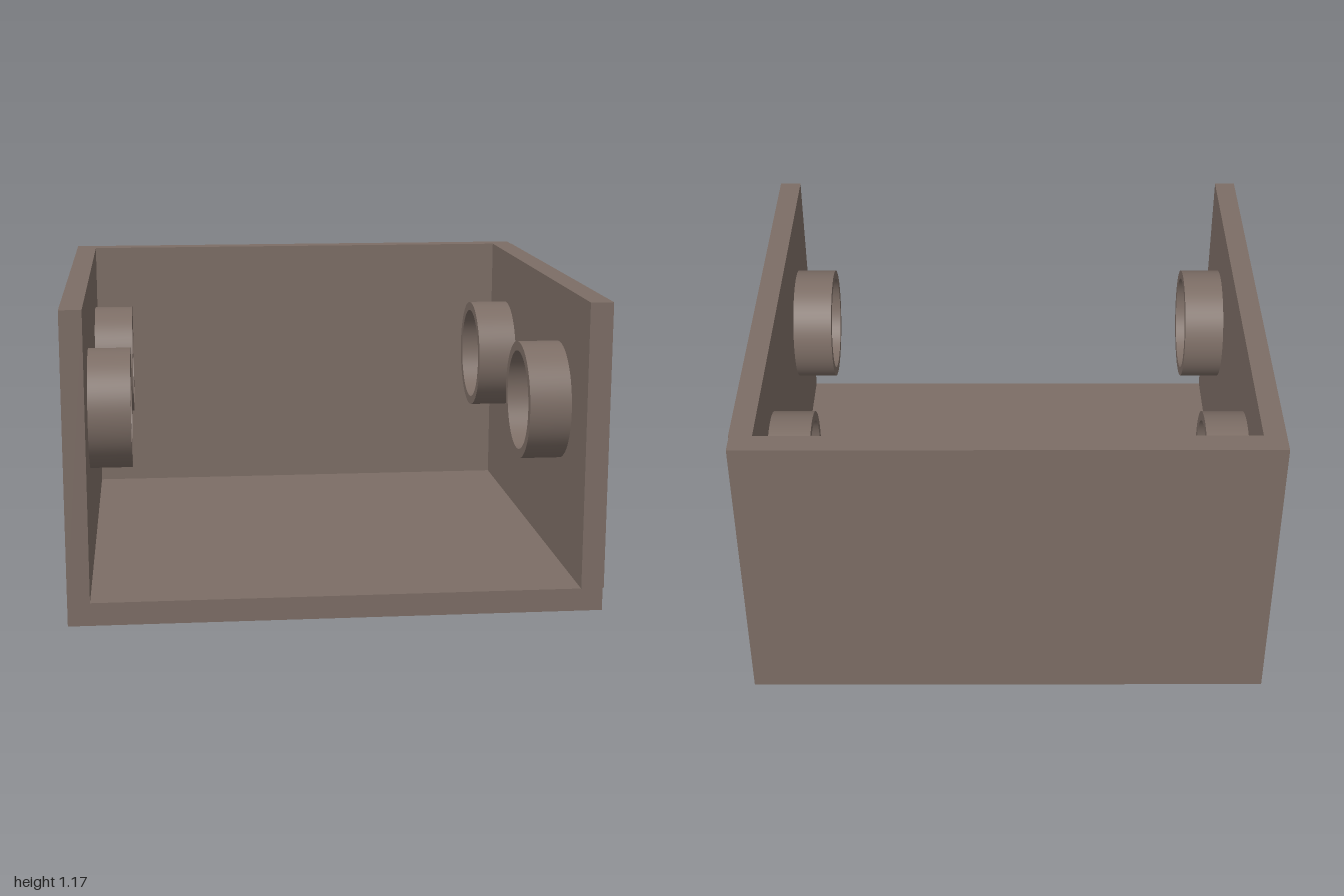
import * as THREE from 'three';

export function createModel() {
  const model = new THREE.Group();
  model.name = 'openBox';
  const brown = new THREE.MeshStandardMaterial({ color: 0x7c6d65 });
  brown.name = 'warm brown';

  // Adds a box panel given its lower and upper limits
  function panel(name, [x0, y0, z0], [x1, y1, z1]) {
    const mesh = new THREE.Mesh(new THREE.BoxGeometry(x1 - x0, y1 - y0, z1 - z0), brown);
    mesh.position.set((x0 + x1) / 2, (y0 + y1) / 2, (z0 + z1) / 2);
    mesh.name = name;
    model.add(mesh);
  }

  // Tray: floor, back and two side walls, open at the front and top
  const H = 1.172, D = 0.955, T = 0.087, edge = 0.997;
  panel('floor', [-1, 0, -D], [edge, T, 0.951]);
  panel('backWall', [-1, T, -D], [edge, H, -0.871]);
  panel('rightWall', [-1, T, -0.871], [-0.917, H, D]);
  panel('leftWall', [0.914, T, -0.871], [1, H, D]); // stands slightly proud of the floor

  // Short open ring with its axis along x
  const outer = 0.229, inner = 0.193, half = 0.08;
  const corners = [[inner, -half], [outer, -half], [outer, half], [inner, half]];
  const ringParts = corners.map((a, i) => {
    const b = corners[(i + 1) % 4];
    const g = new THREE.LatheGeometry([new THREE.Vector2(...a), new THREE.Vector2(...b)], 64);
    return g.rotateZ(Math.PI / 2);
  });

  // Two rings on the inside of each side wall
  for (const [side, x] of [['right', -0.835], ['left', 0.828]]) {
    for (const [end, z] of [['Back', -0.507], ['Front', 0.519]]) {
      const ring = new THREE.Group();
      ring.name = side + end + 'Ring';
      ringParts.forEach((g, i) => {
        const mesh = new THREE.Mesh(g, brown);
        mesh.name = ['innerRim', 'outside', 'outerRim', 'bore'][i];
        ring.add(mesh);
      });
      ring.position.set(x, 0.725, z);
      model.add(ring);
    }
  }
  return model;
}
